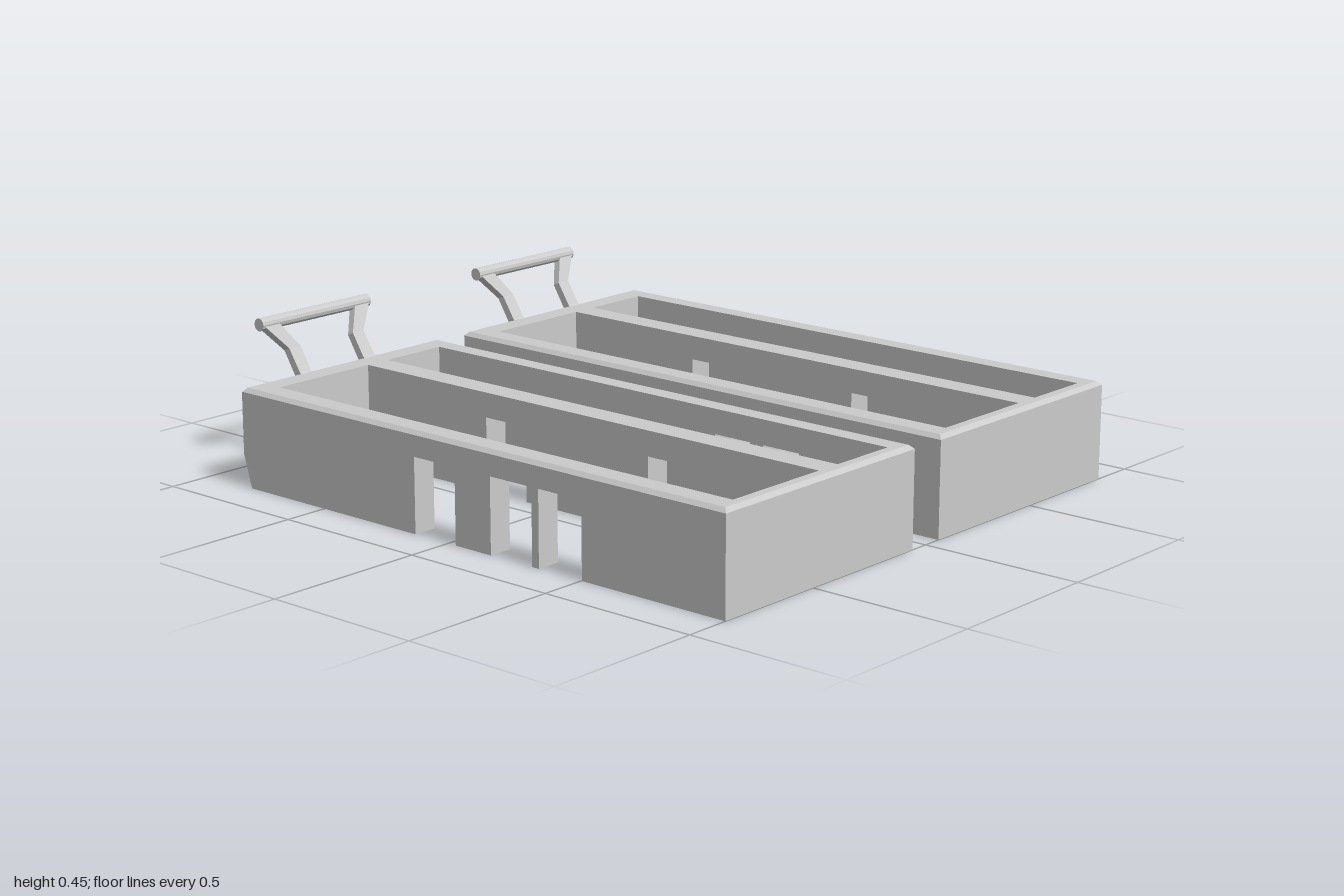
import * as THREE from 'three';

const material = new THREE.MeshStandardMaterial({ color: 0xcccccc, flatShading: true, side: THREE.DoubleSide });

const LEFT = -0.84, RIGHT = 1, INNER_LEFT = -0.76, INNER_RIGHT = 0.96;
const TOP = 0.3, CHAMFER = 0.012, WALL_TOP = TOP - CHAMFER, NOTCH_TOP = 0.225;
const DEPTH = 0.8, BAYS = [[0.07, 0.29], [0.37, 0.725]];

function addMesh(group, name, geometry) {
  const mesh = new THREE.Mesh(geometry, material);
  mesh.name = name;
  group.add(mesh);
  return mesh;
}

const toShape = (points) => new THREE.Shape(points.map(([x, y]) => new THREE.Vector2(x, y)));

// Extrude an x-y outline from z0 to z1
function panel(points, z0, z1) {
  const geometry = new THREE.ExtrudeGeometry(toShape(points), { depth: z1 - z0, bevelEnabled: false });
  return geometry.translate(0, 0, z0);
}

// Lengthwise wall outline, with doorways cut up from the floor
function wallOutline(start, end, notches) {
  const points = [...start];
  for (const [a, b] of notches) points.push([a, 0], [a, NOTCH_TOP], [b, NOTCH_TOP], [b, 0]);
  points.push([end, 0], [end, WALL_TOP]);
  return points;
}

// Top frame with two openings and a chamfered outer edge
function rimGeometry() {
  const rect = (x0, x1, z0, z1) => [[x0, -z0], [x1, -z0], [x1, -z1], [x0, -z1]];
  const shape = toShape(rect(LEFT, RIGHT, 0, DEPTH));
  for (const [z0, z1] of BAYS) shape.holes.push(toShape(rect(INNER_LEFT, INNER_RIGHT, z0, z1)));
  const geometry = new THREE.ExtrudeGeometry(shape, { depth: CHAMFER, bevelEnabled: false });
  geometry.rotateX(-Math.PI / 2).translate(0, WALL_TOP, 0);
  const p = geometry.attributes.position;
  const inset = (v, lo, hi) => (v < lo + 0.001 ? lo + CHAMFER : v > hi - 0.001 ? hi - CHAMFER : v);
  for (let i = 0; i < p.count; i++) {
    if (p.getY(i) < TOP - 0.001) continue;
    p.setX(i, inset(p.getX(i), LEFT, RIGHT));
    p.setZ(i, inset(p.getZ(i), 0, DEPTH));
  }
  geometry.computeVertexNormals();
  return geometry;
}

// Bent square bar that splays outward at its upper end (side = -1 or 1)
function legGeometry(side) {
  // lower x, lower y, upper x, upper y, sideways centre, half width
  const sections = [
    [-0.83, 0.23, -0.83, 0.257, 0.13, 0.0225],
    [-0.9, 0.272, -0.88, 0.287, 0.13, 0.0225],
    [-0.946, 0.345, -0.924, 0.355, 0.13, 0.0225],
    [-0.99, 0.425, -0.966, 0.435, 0.19, 0.03],
  ];
  const positions = [], index = [];
  sections.forEach(([lx, ly, ux, uy, c, w], s) => {
    const a = side * c - w, b = side * c + w;
    positions.push(lx, ly, a, lx, ly, b, ux, uy, b, ux, uy, a);
    if (s === 0) return;
    for (let k = 0; k < 4; k++) {
      const p = (s - 1) * 4 + k, q = (s - 1) * 4 + (k + 1) % 4;
      index.push(p, q, q + 4, p, q + 4, p + 4);
    }
  });
  const last = (sections.length - 1) * 4;
  index.push(0, 2, 1, 0, 3, 2, last, last + 1, last + 2, last, last + 2, last + 3);
  const geometry = new THREE.BufferGeometry();
  geometry.setAttribute('position', new THREE.Float32BufferAttribute(positions, 3));
  geometry.setIndex(index);
  const flat = geometry.toNonIndexed();
  flat.computeVertexNormals();
  return flat;
}

function createHandle() {
  const handle = new THREE.Group();
  handle.name = 'handle';
  for (const side of [-1, 1]) addMesh(handle, 'handleLeg', legGeometry(side));
  const bar = addMesh(handle, 'handleBar', new THREE.CylinderGeometry(0.02, 0.02, 0.44, 12));
  bar.rotation.x = Math.PI / 2;
  bar.position.set(-0.98, 0.43, 0);
  return handle;
}

function createTray() {
  const tray = new THREE.Group();
  tray.name = 'tray';
  const [[a0, a1], [b0, b1]] = BAYS;
  const slopedEnd = [[LEFT, WALL_TOP], [LEFT, 0.1], [-0.81, 0]];

  // Lengthwise walls
  const backNotches = [[0.347, 0.503], [0.525, 0.68]];
  const middleNotches = [[-0.268, -0.11], [0.358, 0.505]];
  const frontNotches = [[-0.128, 0.03], [0.165, 0.32], [0.345, 0.502]];
  addMesh(tray, 'backWall', panel(wallOutline(slopedEnd, RIGHT, backNotches), 0, a0));
  addMesh(tray, 'divider',
    panel(wallOutline([[INNER_LEFT, WALL_TOP], [INNER_LEFT, 0]], INNER_RIGHT, middleNotches), a1, b0));
  addMesh(tray, 'frontWall', panel(wallOutline(slopedEnd, RIGHT, frontNotches), b1, DEPTH));

  // End walls
  addMesh(tray, 'slopedEndWall', panel([...slopedEnd, [INNER_LEFT, 0], [INNER_LEFT, WALL_TOP]], a0, b1));
  addMesh(tray, 'plainEndWall',
    panel([[INNER_RIGHT, 0], [RIGHT, 0], [RIGHT, WALL_TOP], [INNER_RIGHT, WALL_TOP]], a0, b1));

  addMesh(tray, 'rim', rimGeometry());

  const handle = createHandle();
  handle.position.z = 0.383;
  tray.add(handle);
  return tray;
}

export function createModel() {
  const model = new THREE.Group();
  model.name = 'trayPair';
  // Two identical trays side by side
  for (const [name, z] of [['backTray', -0.86], ['frontTray', 0.06]]) {
    const tray = createTray();
    tray.name = name;
    tray.position.z = z;
    model.add(tray);
  }
  return model;
}
